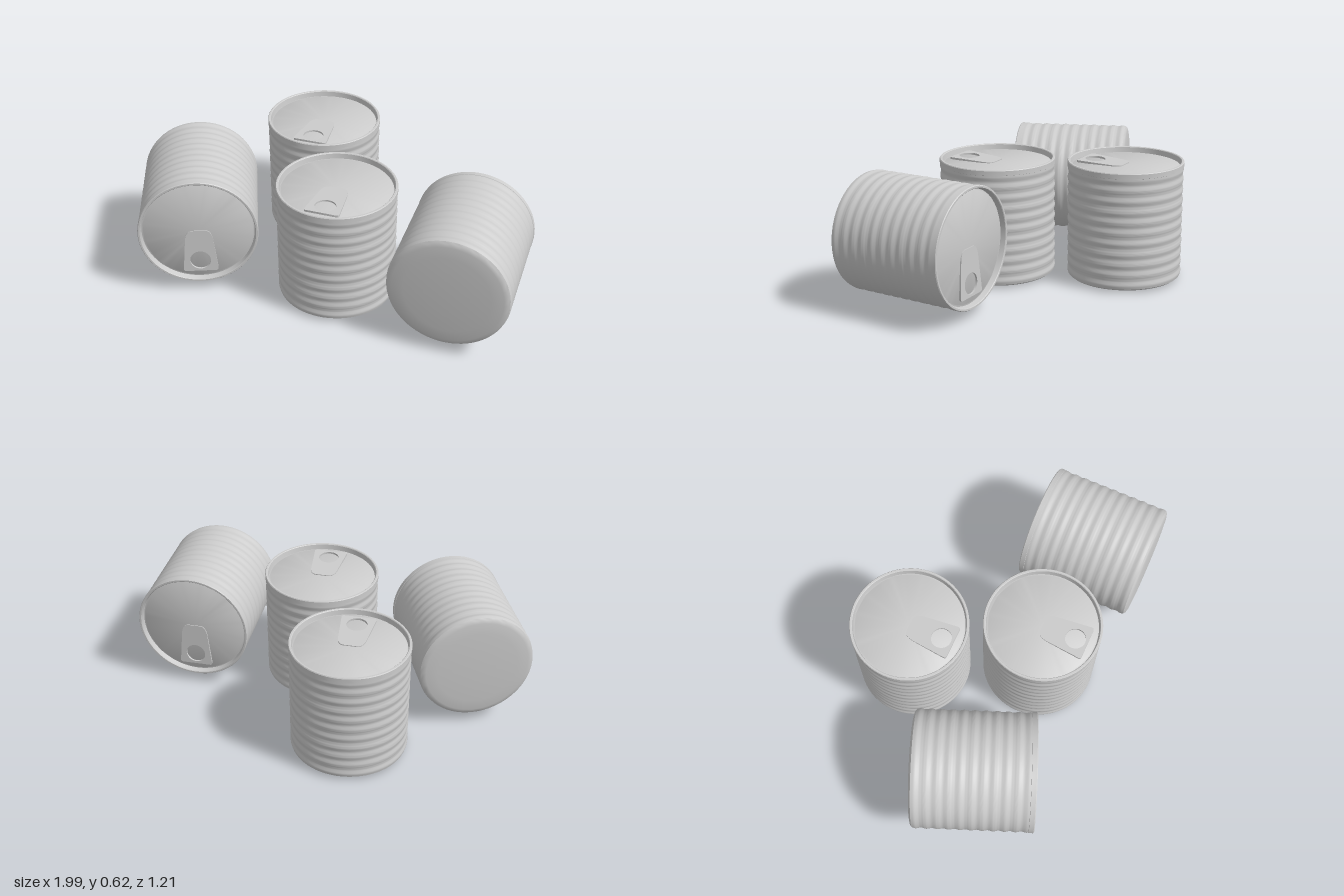
import * as THREE from 'three';
import { toCreasedNormals } from 'three/addons/utils/BufferGeometryUtils.js';

const R = 0.286;      // can radius
const H = 0.595;      // can height
const LID = H - 0.026; // height of the recessed lid

// Closed can: domed base, ribbed wall, rolled rim, recessed lid
function canGeometry() {
  const p = [[0, 0], [0.1, 0.001], [0.2, 0.004], [0.255, 0.008], [0.272, 0.012], [0.281, 0.019], [0.284, 0.03]];
  const ribs = 10, steps = 8, y0 = 0.035, y1 = H - 0.035;
  for (let i = 0; i <= ribs * steps; i++) {
    const t = i / (ribs * steps);
    p.push([0.2825 + 0.0025 * Math.cos(t * ribs * Math.PI * 2), y0 + (y1 - y0) * t]);
  }
  p.push([0.284, H - 0.027], [R, H - 0.026], [R, H - 0.004], [R - 0.003, H],
    [R - 0.011, H], [R - 0.014, H - 0.003], [R - 0.018, LID - 0.002],
    [R - 0.023, LID - 0.002], [R - 0.026, LID], [0, LID]);
  const lathe = new THREE.LatheGeometry(p.map(([x, y]) => new THREE.Vector2(x, y)), 64);
  return toCreasedNormals(lathe, 0.6);
}

// Tapered pull tab with a finger hole, wide end toward the rim
function tabGeometry() {
  const s = new THREE.Shape();
  s.moveTo(-0.072, 0.23);
  s.quadraticCurveTo(-0.085, 0.23, -0.084, 0.217);
  s.lineTo(-0.067, 0.05);
  s.quadraticCurveTo(-0.06, 0, -0.03, 0);
  s.lineTo(0.03, 0);
  s.quadraticCurveTo(0.06, 0, 0.067, 0.05);
  s.lineTo(0.084, 0.217);
  s.quadraticCurveTo(0.085, 0.23, 0.072, 0.23);
  const hole = new THREE.Path();
  hole.absarc(0, 0.168, 0.05, 0, Math.PI * 2, true);
  s.holes.push(hole);
  const g = new THREE.ExtrudeGeometry(s, { depth: 0.01, bevelEnabled: false, curveSegments: 16 });
  g.rotateX(Math.PI / 2);
  g.rotateX(-0.035);
  g.translate(0, LID + 0.004, 0);
  return toCreasedNormals(g, 0.6);
}

export function createModel() {
  const model = new THREE.Group();
  model.name = 'tinCans';
  const metal = new THREE.MeshStandardMaterial({ color: 0xcccccc });
  const canGeo = canGeometry(), tabGeo = tabGeometry();

  // Position is the centre of the base; lying cans are tipped, then turned by yaw
  const addCan = (name, x, y, z, lying = false, yaw = 0) => {
    const can = new THREE.Group();
    can.name = name;
    const body = new THREE.Mesh(canGeo, metal);
    body.name = 'canBody';
    const tab = new THREE.Mesh(tabGeo, metal);
    tab.name = 'pullTab';
    can.add(body, tab);
    can.rotation.set(lying ? Math.PI / 2 : 0, yaw, 0, 'YXZ');
    can.position.set(x, y, z);
    model.add(can);
  };

  addCan('frontUprightCan', 0.096, 0.005, 0.255);
  addCan('backUprightCan', -0.164, 0.005, -0.325);
  addCan('rightLyingCan', -0.742, 0.34, -0.055, true, 0.386);
  addCan('leftLyingCan', 0.712, 0.34, 0.586, true, Math.PI);
  return model;
}
